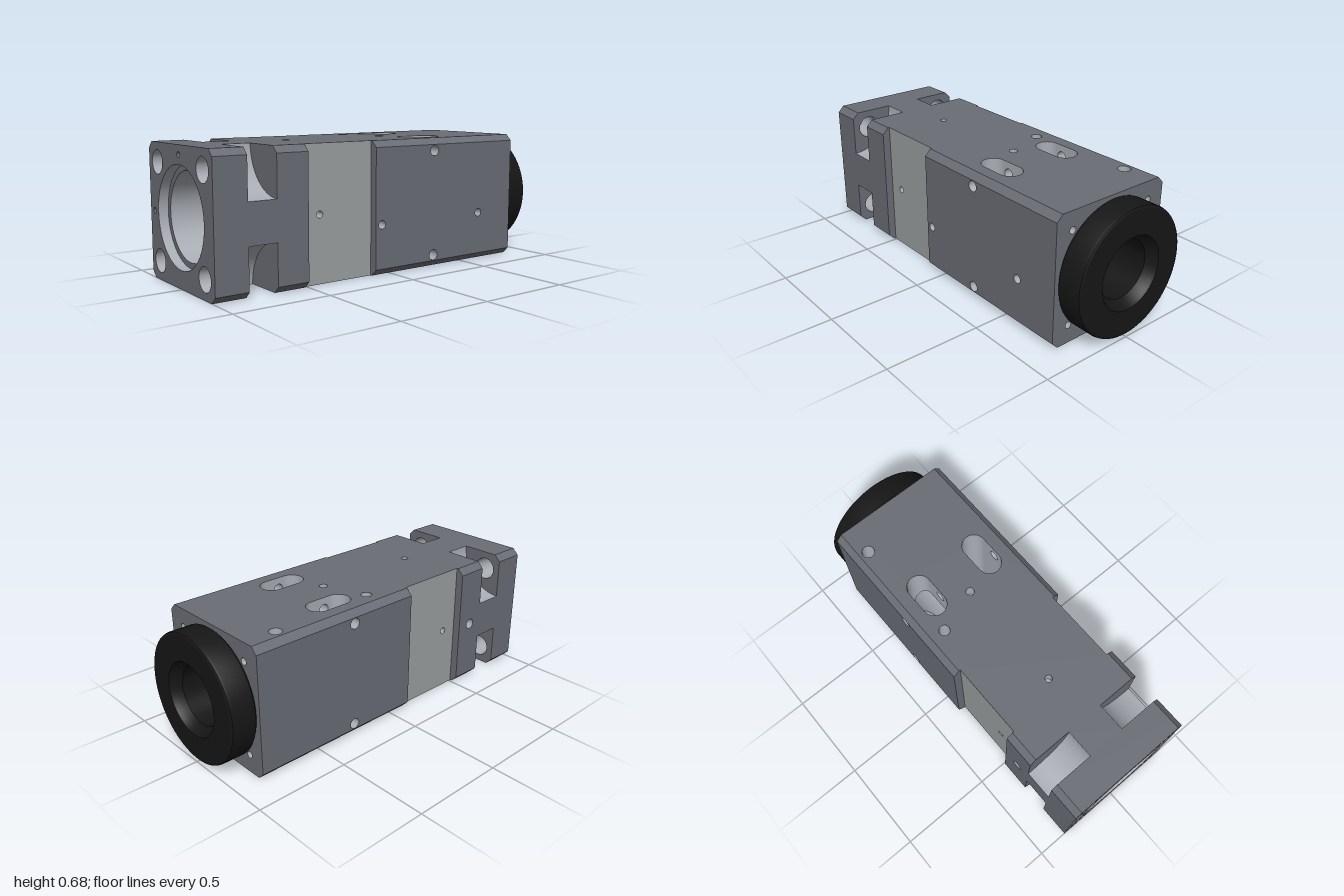
import * as THREE from 'three';
import { toCreasedNormals } from 'three/addons/utils/BufferGeometryUtils.js';
import { ParametricGeometry } from 'three/addons/geometries/ParametricGeometry.js';

const mat = (color) => {
  const m = new THREE.MeshStandardMaterial({ color, side: THREE.DoubleSide });
  return m;
};
const slate = mat(0x6a6d75), pale = mat(0xa9adb4), panel = mat(0x9b9f9f), black = mat(0x161616);

const H = 0.342;             // half height and half depth of the housing
const W = 0.309;             // half width of a flat between chamfers
const BORE = 0.2, WIDE = 0.22;
const SCREW = 0.245;         // screw offset from the axis
const SLOT = { x: 0.305, z: 0.18, half: 0.062, r: 0.063 };
const CROSS = { x: 0.28, y: 0.278, r: 0.028 };   // cross holes that pass through the slots

export function createModel() {
  const root = new THREE.Group();
  root.name = 'housing';
  root.position.y = H;

  const add = (name, geometry, material, parent = root) => {
    const m = new THREE.Mesh(geometry, material);
    m.name = name;
    parent.add(m);
    return m;
  };
  const circle = (x, y, r) => new THREE.Path().absarc(x, y, r, 0, Math.PI * 2, true);
  const rect = (x0, x1, y0, y1) => new THREE.Shape([
    new THREE.Vector2(x0, y0), new THREE.Vector2(x1, y0),
    new THREE.Vector2(x1, y1), new THREE.Vector2(x0, y1)]);
  const octagon = (bore) => {
    const s = new THREE.Shape([[H, -W], [H, W], [W, H], [-W, H], [-H, W], [-H, -W], [-W, -H], [W, -H]]
      .map(([x, y]) => new THREE.Vector2(x, y)));
    s.holes.push(circle(0, 0, bore));
    return s;
  };
  const corners = [[1, 1], [-1, 1], [-1, -1], [1, -1]];
  // Open tube along x, at height y and depth z
  const tubeX = (name, r, x0, x1, y, z, material) => {
    const m = add(name, new THREE.CylinderGeometry(r, r, x1 - x0, 48, 1, true), material);
    m.rotation.z = Math.PI / 2;
    m.position.set((x0 + x1) / 2, y, z);
  };
  const slab = (name, shape, x0, x1) => {
    const m = add(name, new THREE.ExtrudeGeometry(shape,
      { depth: x1 - x0, bevelEnabled: false, curveSegments: 32 }), slate);
    m.rotation.y = Math.PI / 2;
    m.position.x = x0;
  };
  const cap = (name, shape, x, flip) => {
    const m = add(name, new THREE.ShapeGeometry(shape, 32), slate);
    m.rotation.y = flip ? -Math.PI / 2 : Math.PI / 2;
    m.position.x = x;
  };

  // One flat face with holes [x, across, radius, depth, floor material]
  const face = (name, angle, dist, x0, x1, half, material, holes, slots) => {
    const g = new THREE.Group();
    g.name = name;
    g.rotation.x = angle;
    root.add(g);
    const s = rect(x0, x1, -half, half);
    for (const [x, u, r, depth, floor] of holes) {
      s.holes.push(circle(x, u, r));
      const wall = add('holeWall', new THREE.CylinderGeometry(r, r, depth, 24, 1, true), pale, g);
      wall.rotation.x = Math.PI / 2;
      wall.position.set(x, u, dist - depth / 2);
      if (floor) add('holeFloor', new THREE.CircleGeometry(r, 24), floor, g).position.set(x, u, dist - depth);
    }
    if (slots) for (const k of [-1, 1]) {
      const p = new THREE.Path();
      p.absarc(SLOT.x + SLOT.half, k * SLOT.z, SLOT.r, -Math.PI / 2, Math.PI / 2, false);
      p.absarc(SLOT.x - SLOT.half, k * SLOT.z, SLOT.r, Math.PI / 2, Math.PI * 1.5, false);
      p.closePath();
      s.holes.push(p);
    }
    add(name, new THREE.ShapeGeometry(s, 16), material, g).position.z = dist;
  };

  // A length of housing: four faces, plus chamfers when it has full depth
  const section = (name, x0, x1, depth, sideMat, h, slots = false) => {
    const full = depth === H, side = full ? W : H, top = full ? W : depth;
    face(name + 'Front', 0, depth, x0, x1, side, sideMat, h.front || []);
    face(name + 'Top', -Math.PI / 2, H, x0, x1, top, slate, h.top || [], slots);
    face(name + 'Back', Math.PI, depth, x0, x1, side, sideMat, h.back || []);
    face(name + 'Bottom', Math.PI / 2, H, x0, x1, top, slate, h.bottom || [], slots);
    if (!full) return;
    for (let k = 0; k < 4; k++) {
      const g = new THREE.Group();
      g.rotation.x = Math.PI / 4 + k * Math.PI / 2;
      root.add(g);
      add(name + 'Chamfer', new THREE.PlaneGeometry(x1 - x0, (H - W) * Math.SQRT2), slate, g)
        .position.set((x0 + x1) / 2, 0, (H + W) / Math.SQRT2);
    }
  };

  // Mounting flange with a counterbore and four screw holes
  const flange = (bore, pins) => {
    const s = octagon(bore);
    for (const [a, b] of corners) s.holes.push(circle(a * SCREW, b * SCREW, 0.06));
    if (pins) s.holes.push(circle(0.295, 0, 0.015), circle(0, 0.295, 0.015));
    return s;
  };
  slab('flangeFace', flange(0.25, true), -1, -0.95);
  slab('flangeBack', flange(WIDE, false), -0.95, -0.83);
  tubeX('counterbore', 0.2495, -1, -0.95, 0, 0, pale);
  tubeX('frontBore', WIDE - 0.0005, -0.95, -0.11, 0, 0, pale);

  // Neck with a round screw clearance scooped from each corner
  const neck = new THREE.Shape();
  const scoop = H - 0.1;
  corners.forEach(([a, b], k) => {
    neck.absarc(a * H, b * H, scoop, (k - 1) * Math.PI / 2, (k - 2) * Math.PI / 2, true);
    tubeX('flangeScrewHole', 0.0595, -1, -0.83, a * SCREW, b * SCREW, pale);
    const g = new THREE.ExtrudeGeometry(new THREE.Shape()
      .absarc(a * H, b * H, scoop - 0.001, (k - 1) * Math.PI / 2, (k - 2) * Math.PI / 2, true)
      .absarc(a * H, b * H, scoop, (k - 2) * Math.PI / 2, (k - 1) * Math.PI / 2, false),
      { depth: 0.15, bevelEnabled: false, curveSegments: 24 });
    const m = add('cornerScoop', g, pale);
    m.rotation.y = Math.PI / 2;
    m.position.x = -0.83;
  });
  neck.holes.push(circle(0, 0, WIDE));
  slab('neck', neck, -0.83, -0.68);

  // Collar, recessed waist and main body
  cap('collarFront', octagon(WIDE), -0.68, true);
  section('collar', -0.68, -0.51, H, slate, { back: [[-0.6, 0, 0.028, 0.08, pale]] });
  cap('collarBack', octagon(WIDE), -0.51, false);
  const pin = [[-0.42, 0, 0.018, 0.06, pale]];
  section('waist', -0.51, -0.11, 0.3, panel, { front: pin, back: pin, top: pin, bottom: pin });
  cap('bodyFront', octagon(BORE), -0.11, true);
  const cross = [-1, 1].map((k) => [CROSS.x, k * CROSS.y, CROSS.r, H - SLOT.z - SLOT.r]);
  section('body', -0.11, 0.86, H, slate, {
    front: [...cross, [-0.07, -0.08, 0.022, 0.06, pale], [0.61, -0.08, 0.022, 0.06, pale]],
    back: cross,
    top: [[0.1, 0.23, 0.028, H], [0.69, 0.26, 0.033, 0.3, black], [0.18, 0, 0.022, 0.08, pale]],
    bottom: [[0.1, -0.23, 0.028, H], [0.69, -0.26, 0.033, 0.3, black]],
  }, true);

  // Body end with four blind screw holes
  const end = octagon(BORE);
  for (const [a, b] of corners) {
    end.holes.push(circle(a * SCREW, b * SCREW, 0.018));
    tubeX('endScrewHole', 0.018, 0.8, 0.86, a * SCREW, b * SCREW, pale);
    const floor = add('endScrewFloor', new THREE.CircleGeometry(0.018, 24), pale);
    floor.rotation.y = Math.PI / 2;
    floor.position.set(0.82, a * SCREW, b * SCREW);
  }
  cap('bodyEnd', end, 0.86, false);

  // Main bore, opened where the slots break into it
  for (const dir of [-1, 1]) {
    const x0 = dir < 0 ? -0.11 : 0.86;
    add('bodyBore', new ParametricGeometry((u, v, p) => {
      const t = u * Math.PI * 2, z = BORE * Math.cos(t), d = Math.abs(z) - SLOT.z;
      const gap = Math.abs(d) < SLOT.r ? SLOT.half + Math.sqrt(SLOT.r ** 2 - d * d) : 0;
      p.set(THREE.MathUtils.lerp(x0, SLOT.x + dir * gap, v), BORE * Math.sin(t), z);
    }, 240, 1), pale);
  }

  // Slot walls: rounded ends run down to the bore, flat sides carry the cross holes
  for (const kz of [-1, 1]) for (const ky of [-1, 1]) {
    for (const s of [-1, 1]) {
      add('slotEnd', new ParametricGeometry((u, v, p) => {
        const t = (u - 0.5) * Math.PI, z = SLOT.z + SLOT.r * Math.sin(t);
        const low = z < BORE ? Math.sqrt(BORE ** 2 - z * z) : 0;
        p.set(SLOT.x + s * (SLOT.half + SLOT.r * Math.cos(t)), ky * THREE.MathUtils.lerp(low, H, v), kz * z);
      }, 32, 1), pale);
    }
    for (const z of [SLOT.z - SLOT.r, SLOT.z + SLOT.r]) {
      const low = z < BORE ? Math.sqrt(BORE ** 2 - z * z) : 0;
      const s = rect(SLOT.x - SLOT.half, SLOT.x + SLOT.half, Math.min(ky * low, ky * H), Math.max(ky * low, ky * H));
      s.holes.push(circle(CROSS.x, ky * CROSS.y, CROSS.r));
      add('slotSide', new THREE.ShapeGeometry(s, 12), pale).position.z = kz * z;
    }
  }
  for (const k of [-1, 1]) {
    const len = 2 * (SLOT.z - SLOT.r);
    const m = add('crossHole', new THREE.CylinderGeometry(CROSS.r, CROSS.r, len, 24, 1, true), pale);
    m.rotation.x = Math.PI / 2;
    m.position.set(CROSS.x, k * CROSS.y, 0);
  }

  // Black end ring with an inner sleeve
  const profile = [[0.199, 0.6], [0.15, 0.6], [0.15, 0.95], [0.165, 0.965], [0.18, 0.985], [0.188, 1], [0.318, 1],
    [0.327, 0.995], [0.33, 0.985], [0.33, 0.872], [0.325, 0.867], [0.318, 0.867], [0.318, 0.861], [0.199, 0.861], [0.199, 0.6]]
    .map(([r, x]) => new THREE.Vector2(r, x));
  const ring = add('endRing', toCreasedNormals(new THREE.LatheGeometry(profile, 96), 0.5), black);
  ring.rotation.z = -Math.PI / 2;

  const model = new THREE.Group();
  model.name = 'model';
  model.add(root);
  return model;
}
